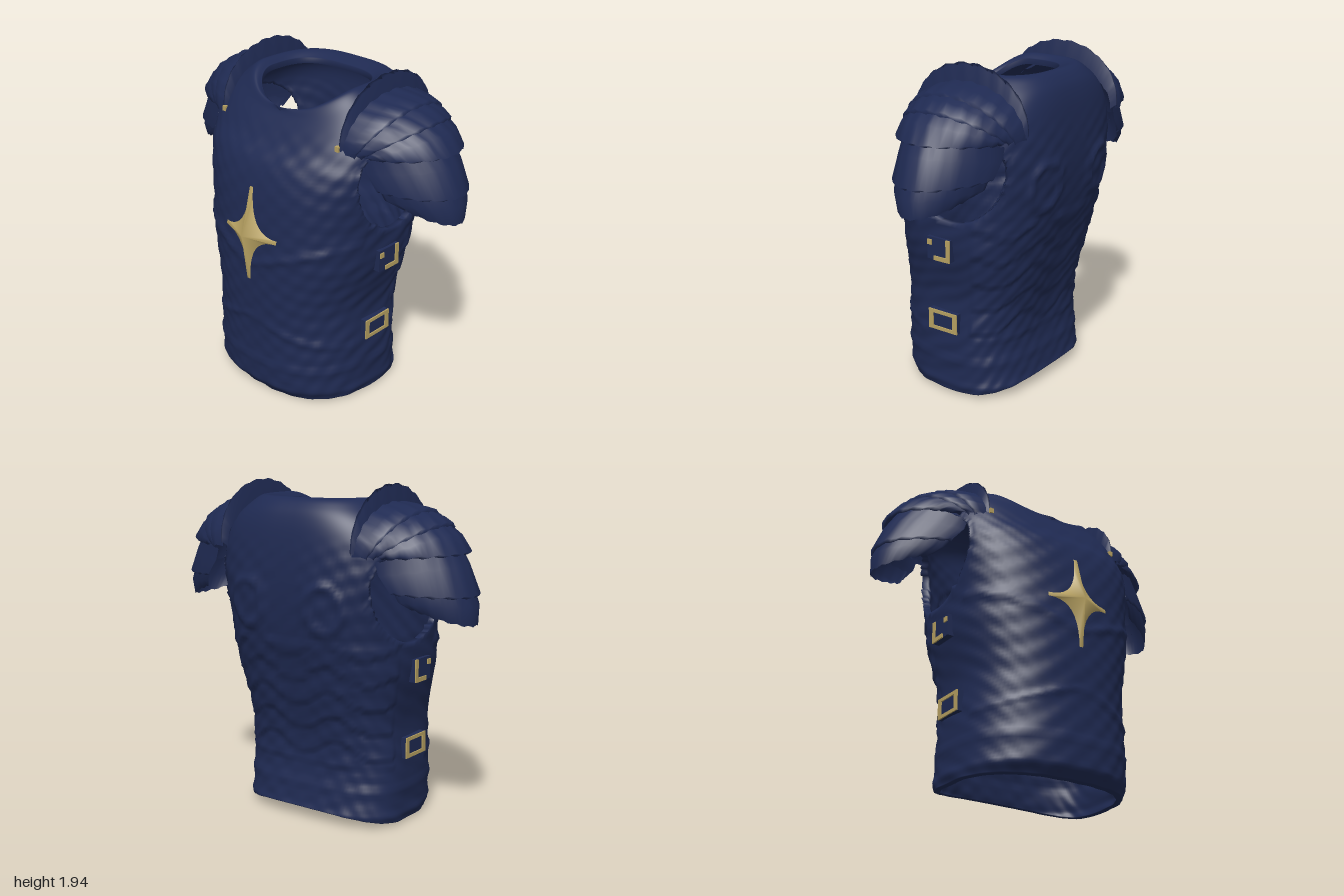
import * as THREE from 'three';

const navy = new THREE.MeshStandardMaterial({ color: 0x1f2a52, side: THREE.DoubleSide });
navy.name = 'navy steel';
const gold = new THREE.MeshStandardMaterial({ color: 0xb8a262, side: THREE.DoubleSide });
gold.name = 'gold trim';

function makeMesh(name, geometry, material) {
  const m = new THREE.Mesh(geometry, material);
  m.name = name;
  return m;
}

function block(name, size, position, material) {
  const m = makeMesh(name, new THREE.BoxGeometry(...size), material);
  m.position.set(...position);
  return m;
}

function indexed(points, index) {
  const g = new THREE.BufferGeometry();
  g.setAttribute('position', new THREE.Float32BufferAttribute(points, 3));
  g.setIndex(index);
  g.computeVertexNormals();
  return g;
}

// Torso rings: y at front, side and back, half width, front z, back z
const RINGS = [
  [0.01, 0.025, 0.08, 0.515, 0.44, -0.37],
  [0.10, 0.11, 0.13, 0.52, 0.485, -0.365],
  [0.30, 0.30, 0.30, 0.52, 0.49, -0.34],
  [0.45, 0.45, 0.45, 0.515, 0.49, -0.34],
  [0.60, 0.60, 0.60, 0.51, 0.495, -0.37],
  [0.75, 0.75, 0.75, 0.535, 0.495, -0.41],
  [0.92, 0.92, 0.92, 0.57, 0.49, -0.45],
  [1.10, 1.10, 1.10, 0.58, 0.48, -0.50],
  [1.30, 1.30, 1.30, 0.61, 0.455, -0.525],
  [1.45, 1.45, 1.46, 0.63, 0.41, -0.53],
  [1.55, 1.60, 1.62, 0.61, 0.34, -0.52],
  [1.63, 1.73, 1.74, 0.54, 0.29, -0.50],
  [1.69, 1.82, 1.82, 0.44, 0.25, -0.465],
  [1.73, 1.87, 1.87, 0.36, 0.225, -0.40],
  [1.71, 1.84, 1.84, 0.305, 0.20, -0.30],
];
const ZC = -0.03, COLS = 144, ROWS = 112;
const bell = (d, w) => Math.exp(-(d * d) / (w * w));

function ringAt(t) {
  const f = t * (RINGS.length - 1), i = Math.min(Math.floor(f), RINGS.length - 2);
  const at = (k) => RINGS[THREE.MathUtils.clamp(k, 0, RINGS.length - 1)];
  return RINGS[0].map((_, c) => {
    const [p0, p1, p2, p3] = [i - 1, i, i + 1, i + 2].map((k) => at(k)[c]);
    const u = f - i, a = (p2 - p0) / 2, b = (p3 - p1) / 2;
    return p1 + u * (a + u * (3 * (p2 - p1) - 2 * a - b + u * (2 * (p1 - p2) + a + b)));
  });
}

// Raised plate edges and hammered relief
function relief(x, y, s) {
  const fade = 1 - THREE.MathUtils.smoothstep(y, 1.5, 1.7);
  let d = 0.004 * Math.sin(x * 41 + y * 9) * Math.sin(y * 53 + s * 17) * fade;
  d += 0.008 * (bell(y - 0.22, 0.02) + bell(y - 0.07, 0.025));
  if (s < -0.3) {
    const r = Math.hypot(Math.abs(x) - 0.26, (y - 1.28) * 0.85);
    d += 0.018 * bell(r - 0.11, 0.022) + 0.008 * bell(r, 0.07);
    const lame = (y + 0.05 * Math.cos(Math.abs(x) * 14)) / 0.15;
    if (y > 0.35 && y < 1.08) d += 0.011 * (1 - (lame - Math.floor(lame)));
  } else if (s > 0.3) {
    d += 0.012 * bell(y - (0.86 + 0.35 * Math.abs(x)), 0.025);
    d += 0.008 * bell(y - (0.52 - 0.3 * Math.abs(x)), 0.02);
  }
  return d;
}

// Double-walled torso with neck, waist and arm openings
function torso() {
  const outer = [], inner = [], radius = [], index = [];
  for (let j = 0; j <= ROWS; j++) {
    const [yf, ys, yb, w, zf, zb] = ringAt(j / ROWS);
    const notch = 0.04 * THREE.MathUtils.smoothstep(j / ROWS, 0.88, 1);
    for (let i = 0; i < COLS; i++) {
      const a = (i / COLS) * Math.PI * 2, c = Math.cos(a), s = Math.sin(a);
      const e = s > 0 ? 2 / 2.5 : 2 / 3;
      let y = THREE.MathUtils.lerp(ys, s > 0 ? yf : yb, s * s);
      let x = w * Math.sign(c) * Math.abs(c) ** e;
      let z = ZC + Math.abs((s > 0 ? zf : zb) - ZC) * Math.sign(s) * Math.abs(s) ** e;
      const d = relief(x, y, s);
      x += c * d;
      z += s * d;
      if (s > 0) z += notch * bell(x, 0.06);
      // fit points near the arm opening onto its rim
      const dz = z + 0.10, dy = y - 1.42;
      let q = Math.hypot(dz / 0.32, dy / (dy > 0 ? 0.22 : 0.34));
      if (Math.abs(x) < 0.35) q = 9;
      if (Math.abs(q - 1) < 0.045) {
        z = -0.10 + dz / q;
        y = 1.42 + dy / q;
        q = 1;
      }
      radius.push(q);
      outer.push(x, y, z);
      const k = THREE.MathUtils.smoothstep(y, 1.5, 1.8), n = 0.032 * (1 - k);
      inner.push(x * (1 - n / w), y - 0.032 * k, ZC + (z - ZC) * (1 - n / 0.45));
    }
  }
  const N = outer.length / 3, edges = new Map();
  const face = (a, b, c) => {
    index.push(a, b, c, a + N, c + N, b + N);
    for (const [p, q] of [[a, b], [b, c], [c, a]]) {
      if (!edges.delete(`${q},${p}`)) edges.set(`${p},${q}`, [p, q]);
    }
  };
  for (let j = 0; j < ROWS; j++) {
    for (let i = 0; i < COLS; i++) {
      const n = (i + 1) % COLS;
      const a = j * COLS + i, b = j * COLS + n, c = a + COLS, d = b + COLS;
      if ((radius[a] + radius[b] + radius[c] + radius[d]) / 4 < 1) continue;
      face(a, c, b);
      face(b, c, d);
    }
  }
  // join the two walls along every open edge
  for (const [p, q] of edges.values()) index.push(q, p, p + N, q, p + N, q + N);
  return indexed([...outer, ...inner], index);
}

// Arched plate; each section: apex x, apex y, base x, base y, half depth
function arch(sections, steps = 36) {
  const pts = [], index = [], n = steps + 1;
  sections.forEach(([ax, ay, bx, by, d], r) => {
    const power = 0.9 + 1.1 * (ax - 0.45);
    for (let i = 0; i <= steps; i++) {
      const t = (i / steps - 0.5) * Math.PI, k = Math.max(0, Math.cos(t)) ** power;
      const bump = 0.005 * Math.sin(i * 1.9 + r * 2);
      pts.push(bx + (ax - bx) * k, by + (ay - by) * k + bump, -0.135 + d * Math.sin(t));
      if (r && i < steps) {
        const b = r * n + i, a = b - n;
        index.push(a, a + 1, b, b, a + 1, b + 1);
      }
    }
  });
  return indexed(pts, index);
}

const PLATES = {
  shoulderRidge: [[0.43, 1.80, 0.43, 1.58, 0.35], [0.455, 1.945, 0.445, 1.60, 0.38],
    [0.468, 1.935, 0.455, 1.60, 0.38], [0.49, 1.80, 0.48, 1.58, 0.35]],
  shoulderCap: [[0.45, 1.855, 0.45, 1.58, 0.37], [0.58, 1.84, 0.50, 1.58, 0.37],
    [0.67, 1.82, 0.53, 1.58, 0.36], [0.675, 1.80, 0.53, 1.57, 0.35]],
  upperShoulderPlate: [[0.62, 1.815, 0.51, 1.58, 0.35], [0.72, 1.79, 0.54, 1.58, 0.345],
    [0.79, 1.75, 0.56, 1.58, 0.34], [0.79, 1.73, 0.56, 1.57, 0.33]],
  middleShoulderPlate: [[0.76, 1.75, 0.56, 1.58, 0.33], [0.85, 1.69, 0.58, 1.58, 0.325],
    [0.92, 1.60, 0.60, 1.58, 0.32], [0.90, 1.59, 0.60, 1.57, 0.30]],
  lowerShoulderPlate: [[0.85, 1.64, 0.55, 1.55, 0.30], [0.92, 1.53, 0.57, 1.48, 0.30],
    [0.985, 1.38, 0.64, 1.40, 0.295], [0.965, 1.37, 0.64, 1.39, 0.28]],
  armPlate: [[0.94, 1.43, 0.62, 1.45, 0.28], [0.985, 1.32, 0.67, 1.35, 0.265],
    [0.985, 1.22, 0.72, 1.31, 0.21]],
};

// Four-pointed chest star with slim blunt arms rising to a centre peak
function star() {
  const tips = [[0.2, 0], [0, 0.28], [-0.2, 0], [0, -0.285]];
  const cy = 1.045, blunt = 0.012, steps = 10, total = (steps + 1) * 4;
  const chest = (x, y) => 0.503 - 0.12 * Math.max(0, y - 1) - 0.55 * x * x;
  const pts = [0, cy, 0.55], index = [];
  tips.forEach(([x, y], k) => {
    const [x2, y2] = tips[(k + 1) % 4];
    const sx = Math.sign(x + x2), sy = Math.sign(y + y2);
    const edge = (px, py) => new THREE.Vector2(px || sx * blunt, py || sy * blunt);
    const curve = new THREE.QuadraticBezierCurve(
      edge(x, y), new THREE.Vector2(sx * 0.012, sy * 0.008), edge(x2, y2));
    for (const p of curve.getPoints(steps)) pts.push(p.x, cy + p.y, chest(p.x, cy + p.y));
  });
  for (let i = 0; i < total; i++) index.push(0, 1 + i, 1 + ((i + 1) % total));
  return indexed(pts, index);
}

// Side buckle: navy block with thin gold bars, each [y, z, height, width]
function buckle(x, y, z, w, h, bars) {
  const g = new THREE.Group();
  g.name = 'sideBuckle';
  g.add(block('buckleBlock', [0.05, h, w], [0, 0, 0], navy));
  for (const [by, bz, bh, bw] of bars) {
    g.add(block('buckleBar', [0.009, bh, bw], [0.028, by, bz], gold));
  }
  g.position.set(x, y, z);
  return g;
}

const FULL_FRAME = [[0, 0.085, 0.12, 0.03], [0, -0.085, 0.12, 0.03],
  [-0.05, 0, 0.02, 0.14], [0.05, 0, 0.02, 0.14]];
const WORN_FRAME = [[0, -0.067, 0.13, 0.026], [-0.053, -0.012, 0.025, 0.084], [0.035, 0.06, 0.03, 0.03]];

export function createModel() {
  const model = new THREE.Group();
  model.name = 'breastplate';
  model.add(makeMesh('torsoShell', torso(), navy));
  model.add(makeMesh('chestStar', star(), gold));
  for (const side of [1, -1]) {
    const half = new THREE.Group();
    half.name = side > 0 ? 'leftSide' : 'rightSide';
    for (const [name, sections] of Object.entries(PLATES)) half.add(makeMesh(name, arch(sections), navy));
    half.add(buckle(0.57, 0.915, -0.02, 0.16, 0.13, WORN_FRAME));
    half.add(buckle(0.515, 0.46, 0, 0.2, 0.12, FULL_FRAME));
    half.add(block('shoulderStud', [0.025, 0.03, 0.025], [0.44, 1.61, 0.245], gold));
    half.scale.x = side;
    model.add(half);
  }
  return model;
}
